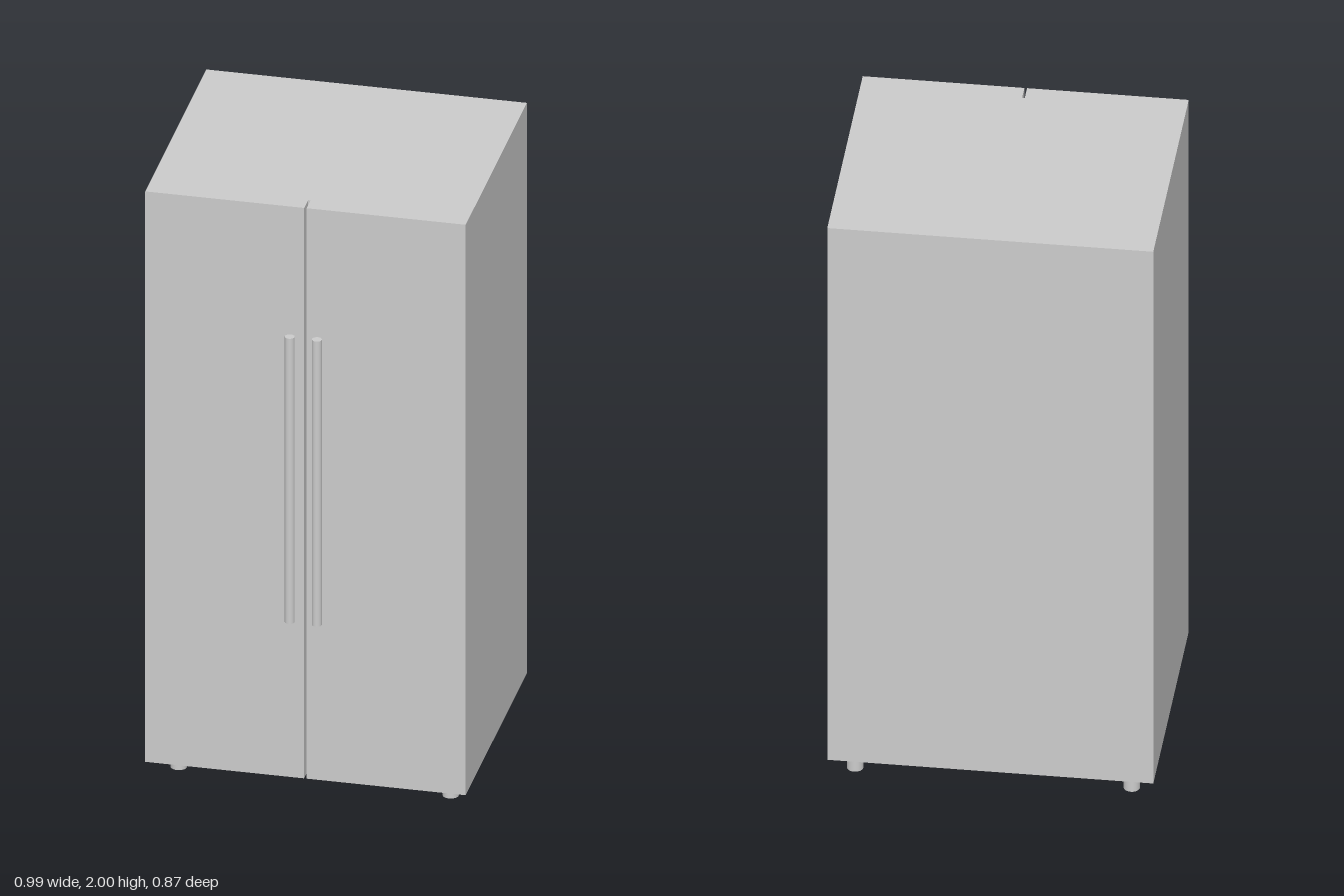
import * as THREE from 'three';

export function createModel() {
  const model = new THREE.Group();
  model.name = 'doubleDoorRefrigerator';
  const material = new THREE.MeshStandardMaterial({ color: 0xcccccc });

  const add = (name, geometry, x, y, z) => {
    const mesh = new THREE.Mesh(geometry, material);
    mesh.name = name;
    mesh.position.set(x, y, z);
    model.add(mesh);
  };

  // Cabinet and both doors share one outline, with a narrow slot between the doors
  const w = 0.495, back = -0.435, front = 0.391, slot = 0.004, slotBack = 0.338;
  const outline = new THREE.Shape([
    [-w, -back], [-w, -front], [-slot, -front], [-slot, -slotBack],
    [slot, -slotBack], [slot, -front], [w, -front], [w, -back],
  ].map(([x, y]) => new THREE.Vector2(x, y)));
  const cabinet = new THREE.ExtrudeGeometry(outline, { depth: 1.93, bevelEnabled: false });
  cabinet.rotateX(-Math.PI / 2);
  add('cabinetWithDoors', cabinet, 0, 0.07, 0);

  const handleGeo = new THREE.CylinderGeometry(0.015, 0.015, 0.965, 24);
  const mountGeo = new THREE.CylinderGeometry(0.01, 0.01, 0.03, 20);
  const footGeo = new THREE.CylinderGeometry(0.025, 0.025, 0.07, 24);

  for (const [side, s] of [['left', 1], ['right', -1]]) {
    // Long bar handle on two small mounts
    add(side + 'Handle', handleGeo, s * 0.042, 1.0925, 0.42);
    for (const y of [0.645, 1.53]) add(side + 'HandleMount', mountGeo, s * 0.042, y, 0.402);

    // Feet
    add(side + 'FrontFoot', footGeo, s * 0.42, 0.035, 0.265);
    add(side + 'BackFoot', footGeo, s * 0.42, 0.035, -0.36);
  }
  return model;
}
